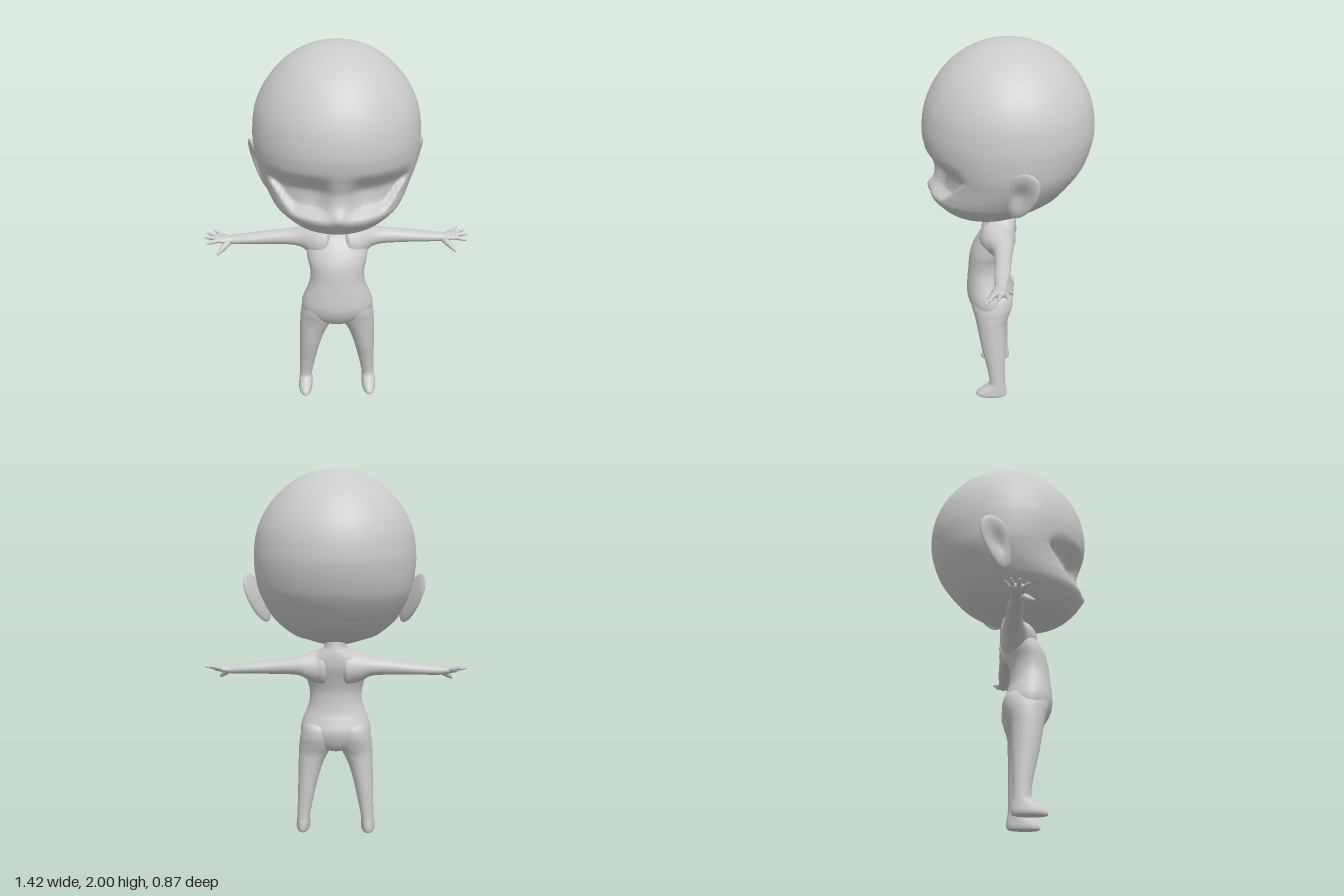
import * as THREE from 'three';
import { mergeVertices } from 'three/addons/utils/BufferGeometryUtils.js';

const material = new THREE.MeshStandardMaterial({ color: 0xcccccc });

// Catmull-Rom interpolation between rows of numbers
function smoothRows(rows, sub) {
  const out = [], last = rows.length - 1;
  for (let i = 0; i < last; i++) {
    const a = rows[Math.max(i - 1, 0)], b = rows[i], c = rows[i + 1], d = rows[Math.min(i + 2, last)];
    for (let s = 0; s < sub; s++) {
      const t = s / sub;
      out.push(b.map((_, k) => b[k] + 0.5 * t * (c[k] - a[k] + t * (2 * a[k] - 5 * b[k] + 4 * c[k] - d[k]
        + t * (3 * (b[k] - c[k]) + d[k] - a[k])))));
    }
  }
  out.push(rows[last]);
  return out;
}

// Oval rings along an axis; rows are [position, aMin, aMax, bMin, bMax], increasing in position.
// Along 'y' a is x and b is z; along 'x' a is y and b is z.
function loft(rows, axis, n, sub, rule) {
  const rings = smoothRows(rows, sub), pos = [], idx = [], p = new THREE.Vector3();
  for (const [t, a0, a1, b0, b1] of rings) {
    for (let j = 0; j < n; j++) {
      const ang = j / n * Math.PI * 2;
      const a = (a0 + a1) / 2 + Math.cos(ang) * (a1 - a0) / 2;
      const b = (b0 + b1) / 2 + Math.sin(ang) * (b1 - b0) / 2;
      if (axis === 'y') p.set(a, t, b); else p.set(t, a, b);
      if (rule) rule(p);
      pos.push(p.x, p.y, p.z);
    }
  }
  for (let i = 0; i < rings.length - 1; i++) {
    for (let j = 0; j < n; j++) {
      const k = (j + 1) % n, p0 = i * n + j, p1 = i * n + k, q0 = p0 + n, q1 = p1 + n;
      if (axis === 'y') idx.push(p0, q0, p1, p1, q0, q1);
      else idx.push(p0, p1, q0, p1, q1, q0);
    }
  }
  const g = new THREE.BufferGeometry();
  g.setAttribute('position', new THREE.Float32BufferAttribute(pos, 3));
  g.setIndex(idx);
  return finish(g);
}

function finish(g) {
  g.deleteAttribute('uv');
  g.deleteAttribute('normal');
  const m = mergeVertices(g, 1e-5);
  m.computeVertexNormals();
  return m;
}

// Same shape on the other side, with the corner order reversed
function mirrored(g) {
  const m = g.clone().scale(-1, 1, 1), ix = m.index;
  for (let i = 0; i < ix.count; i += 3) {
    const a = ix.getX(i);
    ix.setX(i, ix.getX(i + 2));
    ix.setX(i + 2, a);
  }
  m.computeVertexNormals();
  return m;
}

// Tapered round-ended finger between two points
function finger(from, to, r0, r1) {
  const a = new THREE.Vector3(...from), dir = new THREE.Vector3(...to).sub(a), len = dir.length();
  const pts = [[0, 0], [r0, 0], [(r0 + r1) / 2, len * 0.55], [r1, len * 0.85], [r1 * 0.7, len * 0.96], [0, len]];
  const g = new THREE.LatheGeometry(pts.map(q => new THREE.Vector2(...q)), 12);
  g.applyQuaternion(new THREE.Quaternion().setFromUnitVectors(new THREE.Vector3(0, 1, 0), dir.normalize()));
  g.translate(a.x, a.y, a.z);
  return finish(g);
}

// Eye hollows and nose
function shapeFace(p) {
  if (p.z <= 0.05) return;
  const step = THREE.MathUtils.smoothstep, x = Math.abs(p.x);
  const lower = 1.225 + 0.13 * step(x, 0.2, 0.36);
  const hollow = (1 - step(p.y, 1.34, 1.47)) * step(p.y, lower, lower + 0.05)
    * step(x, 0.01, 0.12) * (1 - step(x, 0.31, 0.37));
  p.z -= 0.055 * hollow;
  p.z += 0.022 * Math.exp(-((x / 0.035) ** 2) - ((p.y - 1.24) / 0.03) ** 2);
}

function earGeometry() {
  const g = new THREE.SphereGeometry(1, 40, 28).rotateZ(-Math.PI / 2), at = g.attributes.position;
  for (let i = 0; i < at.count; i++) {
    const w = at.getX(i), v = at.getY(i), u = at.getZ(i);
    const dent = w > 0 ? 0.034 * Math.exp(-3.5 * (u * u + v * v)) : 0;
    at.setXYZ(i, 0.405 + 0.045 * v - 0.035 * u + 0.026 * w - dent,
      1.34 + 0.13 * v, -0.075 - 0.03 * v + u * 0.08 * (1 + 0.22 * v));
  }
  return finish(g);
}

export function createModel() {
  const model = new THREE.Group();
  const add = (name, geometry, parent = model) => {
    const mesh = new THREE.Mesh(geometry, material);
    mesh.name = name;
    parent.add(mesh);
  };
  const addPair = (name, geometry, left, right) => {
    add('left' + name, geometry, left);
    add('right' + name, mirrored(geometry), right);
  };

  // Head: [y, half width, back z, front z]
  const head = [
    [1.068, 0, 0.11, 0.11], [1.075, 0.08, 0.04, 0.2], [1.1, 0.165, -0.03, 0.28], [1.13, 0.235, -0.13, 0.34],
    [1.2, 0.315, -0.25, 0.405], [1.25, 0.35, -0.3, 0.402], [1.3, 0.375, -0.34, 0.388], [1.35, 0.395, -0.375, 0.385],
    [1.4, 0.41, -0.4, 0.4], [1.48, 0.422, -0.425, 0.428], [1.565, 0.425, -0.435, 0.438], [1.678, 0.41, -0.42, 0.42],
    [1.78, 0.367, -0.377, 0.375], [1.873, 0.295, -0.308, 0.305], [1.942, 0.21, -0.218, 0.215],
    [1.985, 0.11, -0.113, 0.113], [2, 0, 0, 0],
  ];
  add('head', loft(head.map(([y, w, b, f]) => [y, -w, w, b, f]), 'y', 120, 7, shapeFace));
  addPair('Ear', earGeometry());

  // Torso and neck: [y, half width, back z, front z]
  const torso = [
    [0.465, 0, 0.09, 0.09], [0.475, 0.045, 0.04, 0.14], [0.505, 0.13, 0, 0.185], [0.55, 0.185, -0.022, 0.215],
    [0.6, 0.195, -0.03, 0.23], [0.65, 0.183, -0.015, 0.23], [0.7, 0.163, 0.003, 0.226], [0.76, 0.146, 0.01, 0.22],
    [0.82, 0.147, 0.008, 0.214], [0.88, 0.16, -0.01, 0.198], [0.95, 0.163, -0.036, 0.158], [1, 0.14, -0.042, 0.118],
    [1.04, 0.09, -0.04, 0.1], [1.07, 0.06, -0.033, 0.1], [1.13, 0.055, -0.02, 0.11], [1.14, 0, 0.04, 0.04],
  ];
  add('torso', loft(torso.map(([y, w, b, f]) => [y, -w, w, b, f]), 'y', 56, 5));

  // Leg and foot: [y, inner x, outer x, back z, front z]
  addPair('Leg', loft([
    [0, 0.185, 0.185, 0.1, 0.1], [0.004, 0.155, 0.213, 0.02, 0.165], [0.02, 0.146, 0.223, 0.004, 0.177],
    [0.045, 0.145, 0.222, 0.003, 0.158], [0.07, 0.145, 0.219, 0.007, 0.123], [0.1, 0.144, 0.216, 0.011, 0.1],
    [0.2, 0.124, 0.213, 0.011, 0.115], [0.3, 0.101, 0.211, 0.01, 0.14], [0.4, 0.07, 0.209, 0.008, 0.16],
    [0.46, 0.04, 0.207, 0.004, 0.172], [0.51, 0.01, 0.204, -0.012, 0.185], [0.57, 0.005, 0.195, -0.028, 0.2],
    [0.63, 0.03, 0.17, -0.01, 0.19], [0.67, 0.1, 0.1, 0.1, 0.1],
  ], 'y', 36, 5));

  // Arm and palm: [x, bottom y, top y, back z, front z]
  const arms = { left: new THREE.Group(), right: new THREE.Group() };
  for (const side in arms) {
    arms[side].name = side + 'ArmAndHand';
    model.add(arms[side]);
  }
  addPair('Arm', loft([
    [0.02, 0.97, 0.97, 0.04, 0.04], [0.05, 0.86, 1.055, -0.037, 0.14], [0.1, 0.86, 1.043, -0.038, 0.145],
    [0.15, 0.882, 1.027, -0.038, 0.118], [0.19, 0.907, 1.015, -0.037, 0.088], [0.25, 0.916, 1.004, -0.033, 0.065],
    [0.35, 0.918, 0.992, -0.03, 0.054], [0.45, 0.919, 0.979, -0.029, 0.05], [0.56, 0.919, 0.966, -0.02, 0.042],
    [0.6, 0.924, 0.965, -0.027, 0.05], [0.635, 0.932, 0.967, -0.034, 0.052], [0.655, 0.938, 0.964, -0.03, 0.046],
    [0.663, 0.95, 0.95, 0.01, 0.01],
  ], 'x', 32, 5), arms.left, arms.right);

  // Thumb and four fingers
  const fingers = [
    ['Thumb', [0.585, 0.935, 0.03], [0.642, 0.886, 0.086], 0.02, 0.008],
    ['IndexFinger', [0.635, 0.95, 0.036], [0.7, 0.942, 0.06], 0.014, 0.007],
    ['MiddleFinger', [0.64, 0.952, 0.012], [0.712, 0.957, 0.014], 0.014, 0.007],
    ['RingFinger', [0.635, 0.953, -0.01], [0.702, 0.964, -0.028], 0.013, 0.007],
    ['LittleFinger', [0.615, 0.95, -0.02], [0.667, 0.97, -0.052], 0.013, 0.006],
  ];
  for (const [name, ...spec] of fingers) addPair(name, finger(...spec), arms.left, arms.right);
  return model;
}
